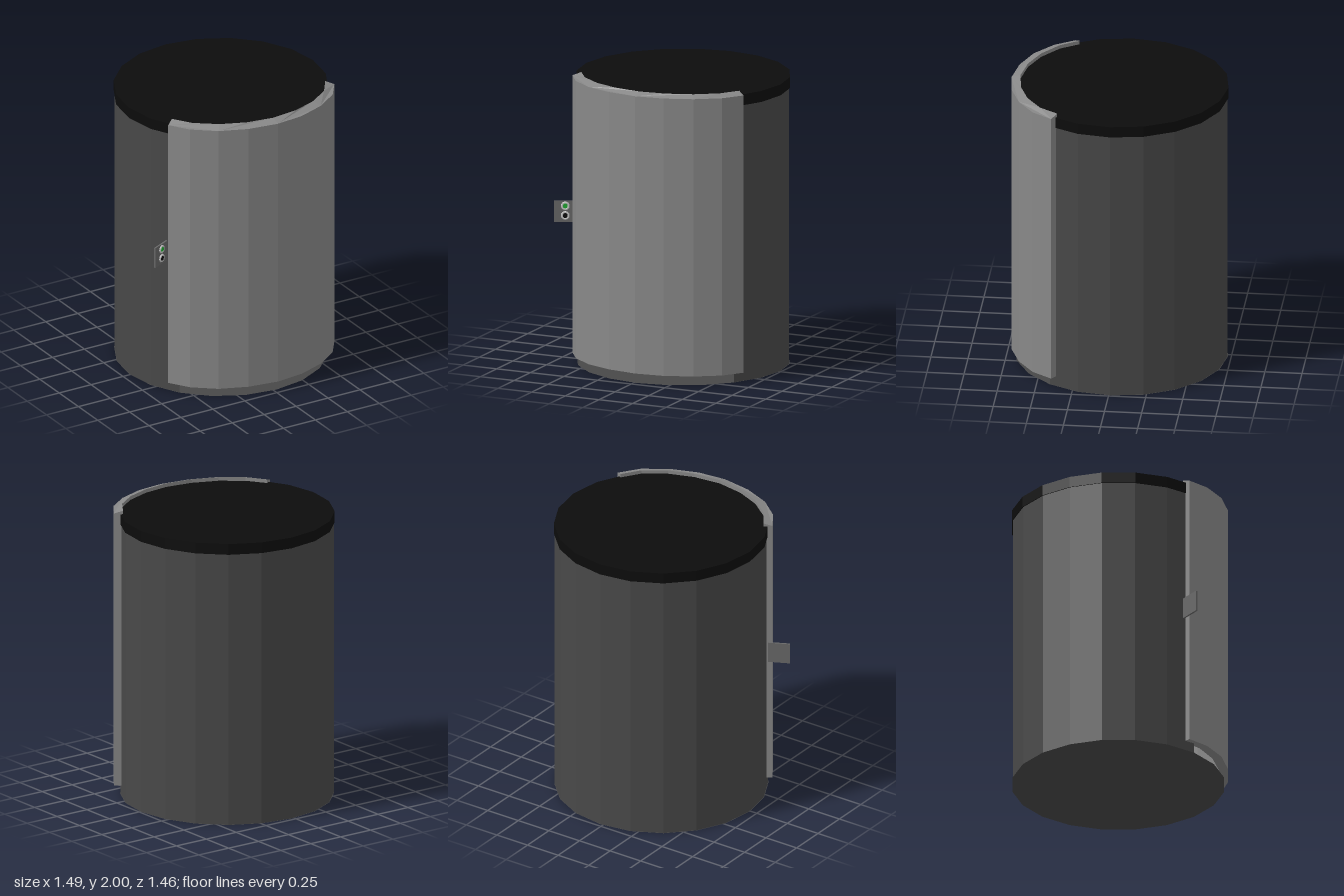
import * as THREE from 'three';

const SIDES = 20, RADIUS = 0.718, CX = 0.022, CZ = -0.01;

function mat(color, side = THREE.FrontSide) {
  return new THREE.MeshStandardMaterial({ color, side, flatShading: true });
}

function add(parent, name, geometry, material, x = 0, y = 0, z = 0) {
  const mesh = new THREE.Mesh(geometry, material);
  mesh.name = name;
  mesh.position.set(x, y, z);
  parent.add(mesh);
  return mesh;
}

// Curved door: an arc-shaped plan, extruded upward, its top sloping down outwards
function doorGeometry() {
  const outer = [[-0.62, 0.37], [-0.53, 0.505], [-0.38, 0.625], [-0.19, 0.7], [0.02, 0.732],
    [0.22, 0.71], [0.41, 0.64], [0.57, 0.53], [0.665, 0.395]];
  const inner = [[0.615, 0.36], [0.53, 0.485], [0.385, 0.585], [0.21, 0.648], [0.02, 0.67],
    [-0.17, 0.64], [-0.34, 0.57], [-0.485, 0.46], [-0.57, 0.335]];
  const shape = new THREE.Shape([...outer, ...inner].map(([x, z]) => new THREE.Vector2(x, -z)));
  const geo = new THREE.ExtrudeGeometry(shape, { depth: 1.93, bevelEnabled: false });
  geo.rotateX(-Math.PI / 2).translate(0, 0.07, 0);
  const p = geo.attributes.position;
  for (let i = 0; i < p.count; i++) {
    if (p.getY(i) > 1.9 && Math.hypot(p.getX(i) - 0.02, p.getZ(i)) > 0.715) p.setY(i, 1.98);
  }
  geo.computeVertexNormals();
  return geo;
}

export function createModel() {
  const model = new THREE.Group();
  model.name = 'cylindricalCabinet';
  const dark = mat(0x484848, THREE.DoubleSide);
  const black = mat(0x0c0c0c);

  // Shell, open at the front behind the door
  const step = (Math.PI * 2) / SIDES;
  const wall = new THREE.CylinderGeometry(RADIUS - 0.003, RADIUS - 0.003, 1.9, SIDES - 6, 1, true,
    step * 3, step * (SIDES - 6));
  add(model, 'wall', wall, dark, CX, 0.95, CZ);

  // Floor and lid
  const floor = new THREE.CircleGeometry(RADIUS, SIDES).rotateX(Math.PI / 2).rotateY(Math.PI / 2);
  add(model, 'floor', floor, dark, CX, 0, CZ);
  add(model, 'lid', new THREE.CylinderGeometry(RADIUS + 0.003, RADIUS + 0.003, 0.075, SIDES), black, CX, 1.9375, CZ);

  // Door
  add(model, 'door', doorGeometry(), mat(0x888888));

  // Control plate beside the door, with two round buttons
  const panel = new THREE.Group();
  panel.name = 'controlPanel';
  panel.position.set(-0.677, 1.037, 0.366);
  panel.rotation.y = 0.45;
  model.add(panel);
  add(panel, 'plate', new THREE.BoxGeometry(0.148, 0.145, 0.012), mat(0x686868));
  [[0.038, 0x22aa33, 'greenButton'], [-0.028, 0x0c0c0c, 'blackButton']].forEach(([y, color, name]) => {
    add(panel, name + 'Ring', new THREE.TorusGeometry(0.023, 0.007, 6, 16), mat(0xcccccc), 0.002, y, 0.008);
    const cap = new THREE.CylinderGeometry(0.016, 0.016, 0.012, 16).rotateX(Math.PI / 2);
    add(panel, name, cap, mat(color), 0.002, y, 0.009);
  });

  return model;
}
